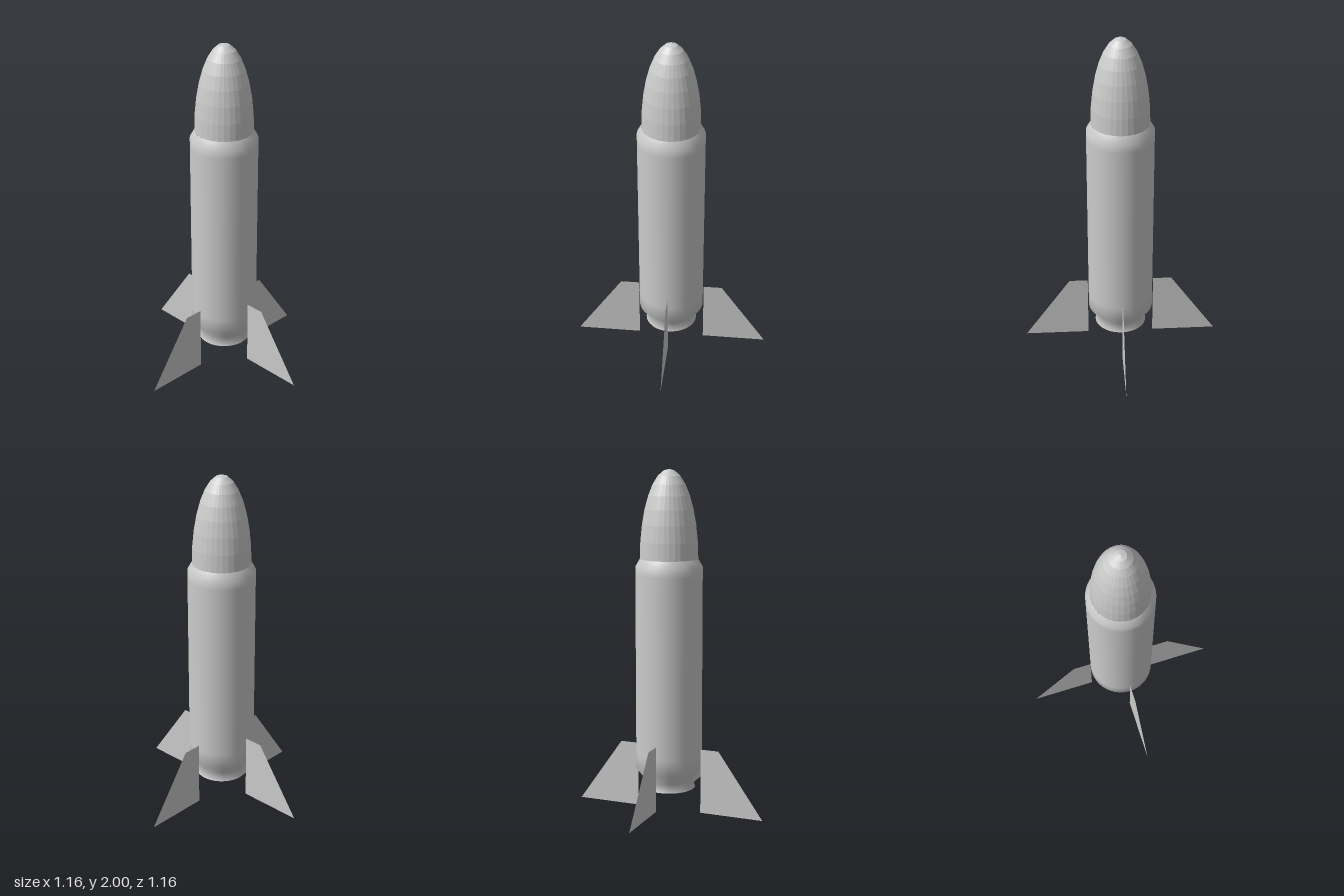
import * as THREE from 'three';

const NOSE_BASE = 1.493, NOSE_RADIUS = 0.167;

export function createModel() {
  const rocket = new THREE.Group();
  rocket.name = 'rocket';

  const add = (name, geometry, options = {}) => {
    const material = new THREE.MeshStandardMaterial({ color: 0xcccccc, ...options });
    const mesh = new THREE.Mesh(geometry, material);
    mesh.name = name;
    rocket.add(mesh);
    return mesh;
  };

  // Hull: open nozzle, waist, tapered tail, straight tube and shoulder
  const profile = [
    [0.153, 0.143], [0.136, 0.19], [0.193, 0.257], [0.193, 0.35],
    [0.193, 1.4], [0.193, 1.448], [NOSE_RADIUS, NOSE_BASE],
  ].map(([r, y]) => new THREE.Vector2(r, y));
  add('hull', new THREE.LatheGeometry(profile, 48), { side: THREE.DoubleSide });

  // Nose cone: faceted half ellipsoid
  const nose = new THREE.SphereGeometry(1, 32, 8, 0, Math.PI * 2, 0, Math.PI / 2);
  nose.scale(NOSE_RADIUS, 2 - NOSE_BASE, NOSE_RADIUS);
  add('noseCone', nose, { flatShading: true }).position.y = NOSE_BASE;

  // Four thin swept fins; the front and back pair sits slightly higher
  const outline = [[0.198, 0], [0.58, 0], [0.308, 0.385], [0.198, 0.385]];
  const finShape = new THREE.Shape(outline.map(([x, y]) => new THREE.Vector2(x, y)));
  const finGeometry = new THREE.ShapeGeometry(finShape);
  ['leftFin', 'backFin', 'rightFin', 'frontFin'].forEach((name, i) => {
    const fin = add(name, finGeometry, { side: THREE.DoubleSide });
    fin.rotation.y = i * Math.PI / 2;
    fin.position.y = i % 2 ? 0.044 : 0;
  });

  return rocket;
}
